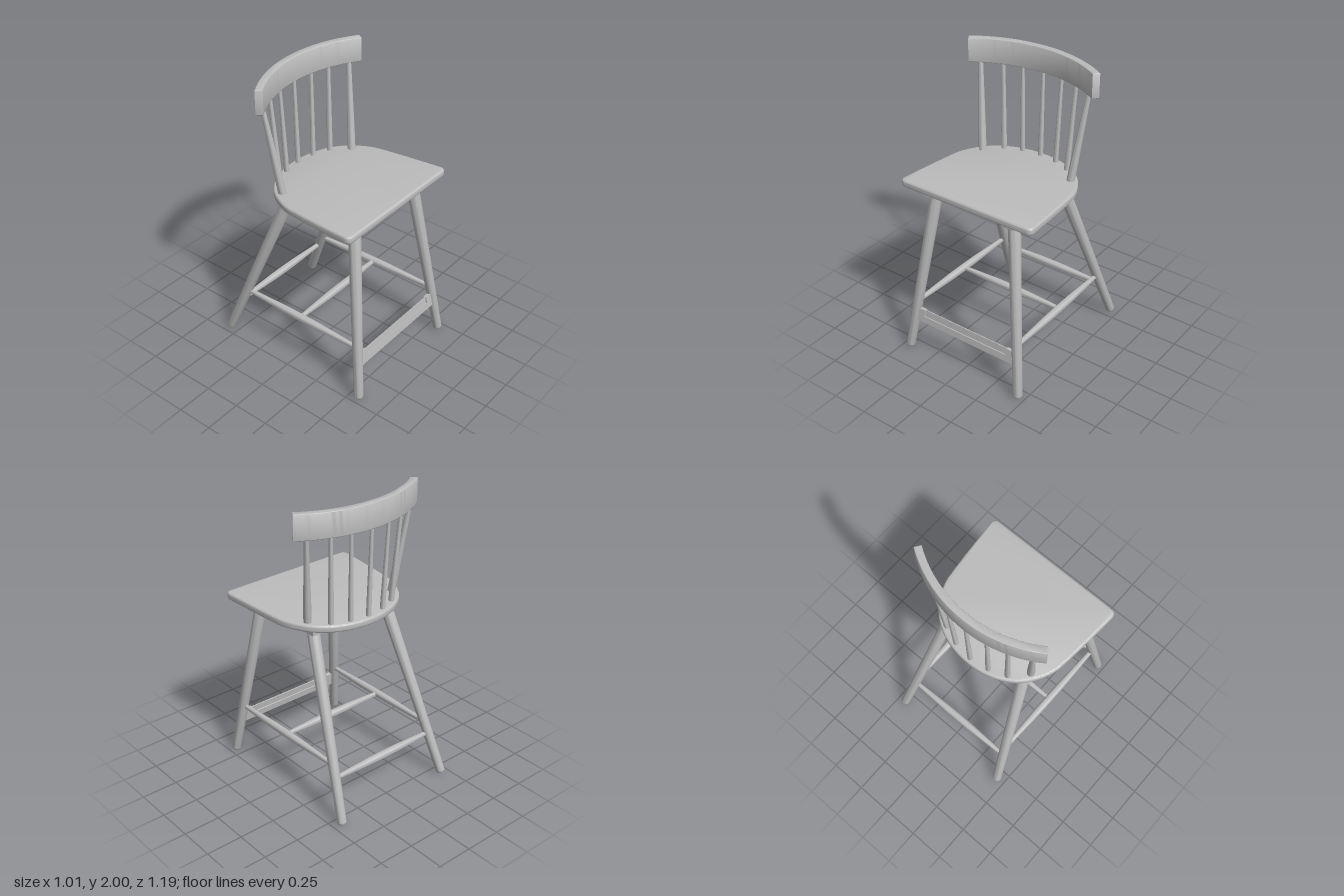
import * as THREE from 'three';
import { toCreasedNormals } from 'three/addons/utils/BufferGeometryUtils.js';

export function createModel() {
  const chair = new THREE.Group();
  chair.name = 'chair';
  const grey = new THREE.MeshStandardMaterial({ color: 0xbcbcbc });
  grey.name = 'grey wood';

  const add = (name, geometry, parent = chair) => {
    const mesh = new THREE.Mesh(geometry, grey);
    mesh.name = name;
    parent.add(mesh);
    return mesh;
  };

  // Turned rod from a to b; profile holds [radius, fraction of length]
  const rod = (name, a, b, profile) => {
    const start = new THREE.Vector3(...a);
    const dir = new THREE.Vector3(...b).sub(start);
    const length = dir.length();
    const points = profile.map(([r, t]) => new THREE.Vector2(r, t * length));
    const geometry = toCreasedNormals(new THREE.LatheGeometry(points, 24), 0.7);
    const mesh = add(name, geometry);
    mesh.position.copy(start);
    mesh.quaternion.setFromUnitVectors(new THREE.Vector3(0, 1, 0), dir.normalize());
    return mesh;
  };

  // Horizontal slab from an (x, z) outline, top face at y = 0, edges rounded
  const slab = (shape, height, bevel) => {
    const geometry = new THREE.ExtrudeGeometry(shape, {
      depth: height - 2 * bevel, bevelEnabled: true, bevelSize: bevel,
      bevelThickness: bevel, bevelOffset: -bevel, bevelSegments: 4, curveSegments: 24,
    });
    geometry.rotateX(Math.PI / 2);
    geometry.translate(0, -bevel, 0);
    return toCreasedNormals(geometry, 0.6);
  };

  // Seat, tipped slightly back, with its cleats and screws
  const seatGroup = new THREE.Group();
  seatGroup.name = 'seatGroup';
  seatGroup.position.y = 1.253;
  seatGroup.rotation.x = -0.03;
  chair.add(seatGroup);

  const outline = new THREE.Shape();
  outline.moveTo(-0.465, 0.52);
  outline.lineTo(0.465, 0.52);
  outline.quadraticCurveTo(0.508, 0.518, 0.505, 0.475);
  outline.bezierCurveTo(0.492, 0.3, 0.48, 0.13, 0.464, 0.01);
  outline.bezierCurveTo(0.45, -0.06, 0.425, -0.1, 0.395, -0.15);
  outline.bezierCurveTo(0.32, -0.265, 0.17, -0.335, 0, -0.335);
  outline.bezierCurveTo(-0.17, -0.335, -0.32, -0.265, -0.395, -0.15);
  outline.bezierCurveTo(-0.425, -0.1, -0.45, -0.06, -0.464, 0.01);
  outline.bezierCurveTo(-0.48, 0.13, -0.492, 0.3, -0.505, 0.475);
  outline.quadraticCurveTo(-0.508, 0.518, -0.465, 0.52);
  add('seat', slab(outline, 0.05, 0.014), seatGroup);

  for (const side of [-1, 1]) {
    add('seatCleat', new THREE.BoxGeometry(0.09, 0.032, 0.665), seatGroup)
      .position.set(side * 0.305, -0.066, 0.148);
  }
  for (const [x, y, z] of [[-0.305, -0.086, 0.15], [0.305, -0.086, 0.15], [0, -0.054, 0.42]]) {
    add('screw', new THREE.CylinderGeometry(0.013, 0.01, 0.01, 16), seatGroup).position.set(x, y, z);
  }

  // Curved top rail
  const railCentre = 0.534;
  const rail = new THREE.Shape();
  rail.absarc(0, railCentre, 0.877, -Math.PI / 2 - 0.6, -Math.PI / 2 + 0.6, false);
  rail.absarc(0, railCentre, 0.829, -Math.PI / 2 + 0.6, -Math.PI / 2 - 0.6, true);
  rail.closePath();
  add('topRail', slab(rail, 0.165, 0.005)).position.y = 2;

  // Back spindles: [bottom x, bottom z, top x, bottom radius, top radius]
  const spindles = [
    [0, -0.3, 0, 0.017, 0.011],
    [0.132, -0.282, 0.15, 0.017, 0.011],
    [0.25, -0.235, 0.28, 0.019, 0.012],
    [0.348, -0.128, 0.415, 0.026, 0.014],
  ];
  spindles.forEach(([x, z, topX, r0, r1], i) => {
    const topZ = railCentre - Math.sqrt(0.853 ** 2 - topX ** 2);
    for (const side of i ? [-1, 1] : [1]) {
      rod('spindle', [side * x, 1.23, z], [side * topX, 1.86, topZ],
        [[0, 0], [r0, 0], [r0 * 0.95, 0.25], [r1, 1], [0, 1]]);
    }
  });

  // Splayed legs and side stretchers
  const legProfile = [[0, 0], [0.022, 0], [0.028, 0.004], [0.031, 0.012], [0.04, 0.9], [0.04, 1], [0, 1]];
  const stretcherProfile = [[0, 0], [0.014, 0], [0.02, 0.2], [0.025, 0.36],
    [0.026, 0.5], [0.025, 0.64], [0.02, 0.8], [0.014, 1], [0, 1]];
  for (const side of [-1, 1]) {
    rod('frontLeg', [side * 0.452, 0.006, 0.57], [side * 0.3, 1.2, 0.4], legProfile);
    rod('backLeg', [side * 0.442, 0.01, -0.57], [side * 0.3, 1.18, -0.12], legProfile);
    rod('sideStretcher', [side * 0.405, 0.368, 0.518], [side * 0.397, 0.368, -0.43], stretcherProfile);
  }
  rod('middleStretcher', [-0.4, 0.368, 0.04], [0.4, 0.368, 0.04], stretcherProfile);
  rod('backStretcher', [-0.405, 0.288, -0.46], [0.405, 0.288, -0.46], stretcherProfile);

  // Front footrest board with a thin plate set in its notch
  const footrest = new THREE.Group();
  footrest.name = 'footrest';
  footrest.position.set(0, 0.277, 0.533);
  footrest.rotation.x = -0.14;
  chair.add(footrest);
  add('footrestBoard', new THREE.BoxGeometry(0.8, 0.046, 0.026), footrest).position.y = -0.024;
  add('footrestPlate', new THREE.BoxGeometry(0.68, 0.046, 0.008), footrest).position.y = 0.022;
  for (const side of [-1, 1]) {
    add('footrestEnd', new THREE.BoxGeometry(0.06, 0.047, 0.026), footrest)
      .position.set(side * 0.365, 0.0225, 0);
  }
  return chair;
}
